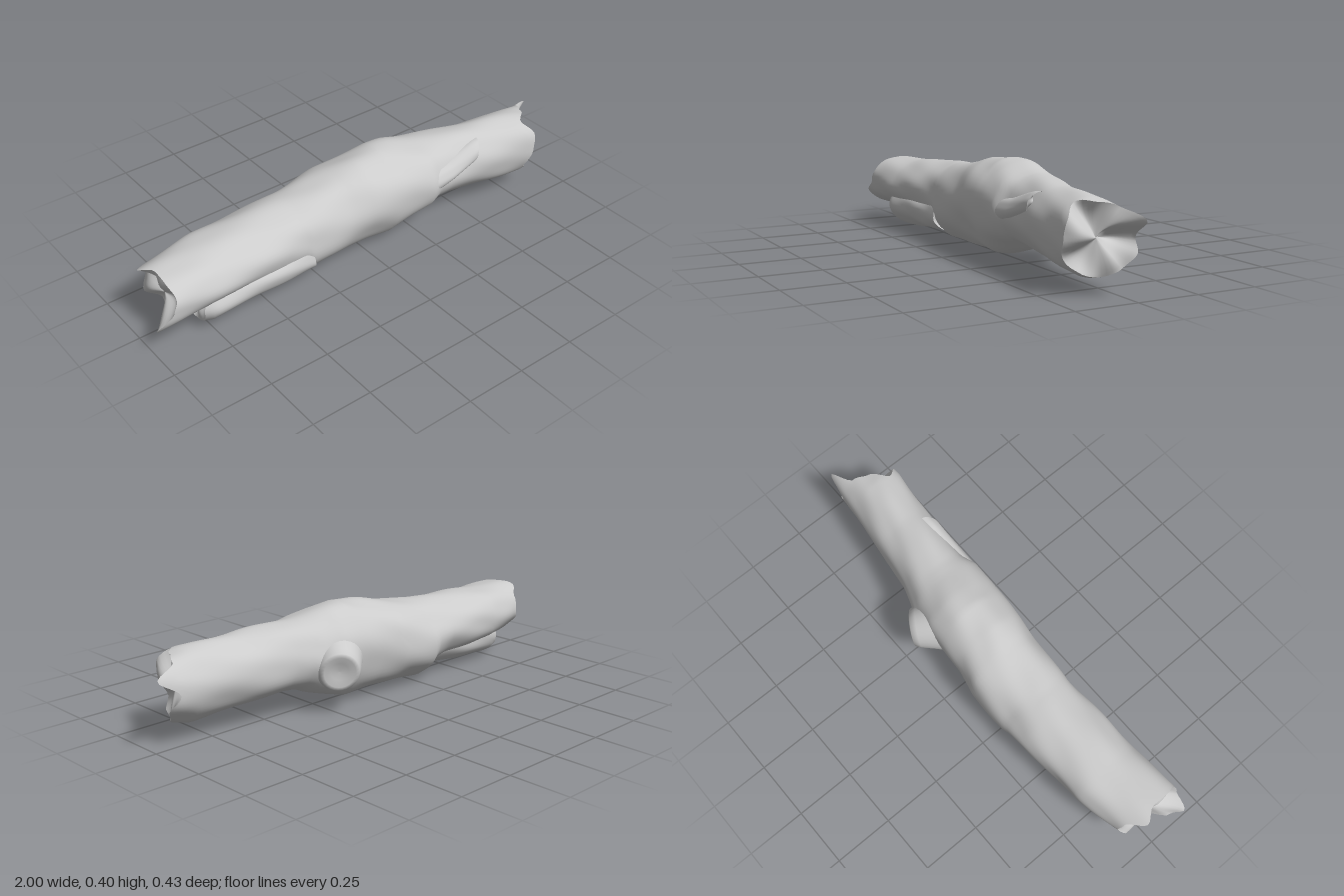
import * as THREE from 'three';

const material = new THREE.MeshStandardMaterial({ color: 0xcccccc, roughness: 0.9 });
const SIDES = 56;
const lerp = THREE.MathUtils.lerp;

// Closed-ring surface: point(t, angle) gives a position, t runs 0..1 along +x
function ringSurface(name, rows, point) {
  const pos = [], index = [];
  for (let j = 0; j <= rows; j++)
    for (let k = 0; k < SIDES; k++) pos.push(...point(j / rows, (k / SIDES) * Math.PI * 2));
  for (let j = 0; j < rows; j++)
    for (let k = 0; k < SIDES; k++) {
      const a = j * SIDES + k, b = j * SIDES + ((k + 1) % SIDES);
      index.push(a, a + SIDES, b, b, a + SIDES, b + SIDES);
    }
  const g = new THREE.BufferGeometry();
  g.setAttribute('position', new THREE.Float32BufferAttribute(pos, 3));
  g.setIndex(index);
  g.computeVertexNormals();
  const mesh = new THREE.Mesh(g, material);
  mesh.name = name;
  return mesh;
}

// Interpolates rows of [x, bottom, top, back, front]
function section(table, x) {
  let i = 0;
  while (i < table.length - 2 && x > table[i + 1][0]) i++;
  const a = table[i], b = table[i + 1];
  const t = THREE.MathUtils.clamp((x - a[0]) / (b[0] - a[0]), 0, 1);
  return a.map((v, n) => lerp(v, b[n], t));
}

// Smoothly blends values spaced evenly around the ring, starting at the front (+z) and going up
function around(values, angle) {
  const f = (angle / (Math.PI * 2)) * values.length, i = Math.floor(f) % values.length;
  const t = f - Math.floor(f);
  return lerp(values[i], values[(i + 1) % values.length], t * t * (3 - 2 * t));
}

// Uneven bark, repeating around the ring
const bark = (x, a) => 1 + 0.018 * Math.sin(3 * a + 7 * x) + 0.014 * Math.sin(5 * a - 11 * x + 1)
  + 0.012 * Math.sin(2 * a + 23 * x) + 0.008 * Math.sin(8 * a + 17 * x + 2);

// A length of wood with ragged ends, each closed by a hollowed broken face
function brokenLength(name, table, leftEnd, rightEnd, rows, hollow) {
  const group = new THREE.Group();
  group.name = name;
  const skin = (t, a) => {
    const x = lerp(around(leftEnd, a), around(rightEnd, a), t);
    const [, y0, y1, z0, z1] = section(table, x);
    const r = bark(x, a) * 0.99;
    return [x, (y0 + y1) / 2 + Math.sin(a) * r * (y1 - y0) / 2, (z0 + z1) / 2 + Math.cos(a) * r * (z1 - z0) / 2];
  };
  const face = (end, centreX) => (s, a) => {
    const p = skin(end, a), [, y0, y1, z0, z1] = section(table, p[0]);
    const k = Math.pow(s, 0.8);
    return [lerp(centreX, p[0], Math.pow(s, 1.6)) + 0.02 * Math.sin(s * Math.PI) * Math.sin(3 * a + 1),
      lerp((y0 + y1) / 2, p[1], k), lerp((z0 + z1) / 2, p[2], k)];
  };
  const mean = (v) => v.reduce((s, n) => s + n, 0) / v.length;
  const left = face(0, mean(leftEnd) + hollow), right = face(1, mean(rightEnd) - hollow);
  group.add(
    ringSurface(name + 'Bark', rows, skin),
    ringSurface(name + 'LeftBreak', 10, left),
    ringSurface(name + 'RightBreak', 10, (t, a) => right(1 - t, a)),
  );
  return group;
}

export function createModel() {
  const model = new THREE.Group();
  model.name = 'fallenLog';

  // Main trunk, swollen in the middle
  const trunk = [
    [-1.0, 0.09, 0.305, -0.09, 0.17], [-0.9, 0.09, 0.31, -0.11, 0.17],
    [-0.7, 0.08, 0.318, -0.155, 0.155], [-0.4, 0.075, 0.335, -0.172, 0.15],
    [-0.32, 0.05, 0.34, -0.175, 0.15], [-0.29, 0.012, 0.345, -0.178, 0.155],
    [-0.1, 0.022, 0.378, -0.185, 0.158], [0.0, 0.026, 0.4, -0.165, 0.165],
    [0.12, 0.018, 0.413, -0.16, 0.173], [0.2, 0.045, 0.402, -0.165, 0.178],
    [0.3, 0.07, 0.382, -0.15, 0.182], [0.35, 0.092, 0.375, -0.13, 0.165],
    [0.42, 0.095, 0.37, -0.11, 0.165], [0.6, 0.082, 0.358, -0.08, 0.18],
    [0.82, 0.066, 0.354, -0.05, 0.204], [0.9, 0.085, 0.34, -0.045, 0.2],
    [1.0, 0.11, 0.342, -0.045, 0.19],
  ];
  model.add(brokenLength('trunk', trunk,
    [-0.93, -0.91, -0.92, -0.92, -0.96, -0.9, -0.89, -0.92, -0.86, -0.9, -0.97, -1.0],
    [0.84, 0.85, 0.81, 0.87, 0.9, 1.0, 0.91, 0.95, 0.92, 0.86, 0.85, 0.81], 110, 0.03));

  // Thick slab of bark under the left half
  const slab = [
    [-0.8, 0.02, 0.2, -0.09, 0.13], [-0.75, 0.008, 0.215, -0.11, 0.15],
    [-0.55, 0.025, 0.215, -0.12, 0.15], [-0.33, 0.045, 0.21, -0.12, 0.158],
    [-0.27, 0.045, 0.2, -0.11, 0.155],
  ];
  model.add(brokenLength('lowerSlab', slab,
    [-0.79, -0.77, -0.72, -0.74, -0.76, -0.79, -0.77, -0.78],
    [-0.29, -0.3, -0.28, -0.3, -0.29, -0.3, -0.31, -0.28], 30, 0.02));

  // Ridge of raised bark on the upper front of the right half
  const ridge = [
    [0.29, 0.17, 0.29, 0.05, 0.178], [0.4, 0.2, 0.3, 0.06, 0.178],
    [0.53, 0.24, 0.335, 0.06, 0.172], [0.57, 0.26, 0.34, 0.06, 0.165],
  ];
  model.add(brokenLength('barkRidge', ridge, [0.29, 0.3, 0.31, 0.29], [0.54, 0.57, 0.52, 0.48], 14, 0.01));

  // Broken branch stump at the back, where the swelling ends
  const stump = new THREE.Mesh(new THREE.LatheGeometry([
    [0, 0.088], [0.035, 0.09], [0.062, 0.1], [0.078, 0.095], [0.088, 0.07], [0.1, 0.02], [0.125, -0.07],
  ].reverse().map(([r, h]) => new THREE.Vector2(r, h)), 28), material);
  stump.name = 'branchStump';
  const axis = new THREE.Vector3(0.5, -0.12, -0.75).normalize();
  stump.quaternion.setFromUnitVectors(new THREE.Vector3(0, 1, 0), axis);
  stump.position.set(0.22, 0.2, -0.105);
  model.add(stump);

  return model;
}
